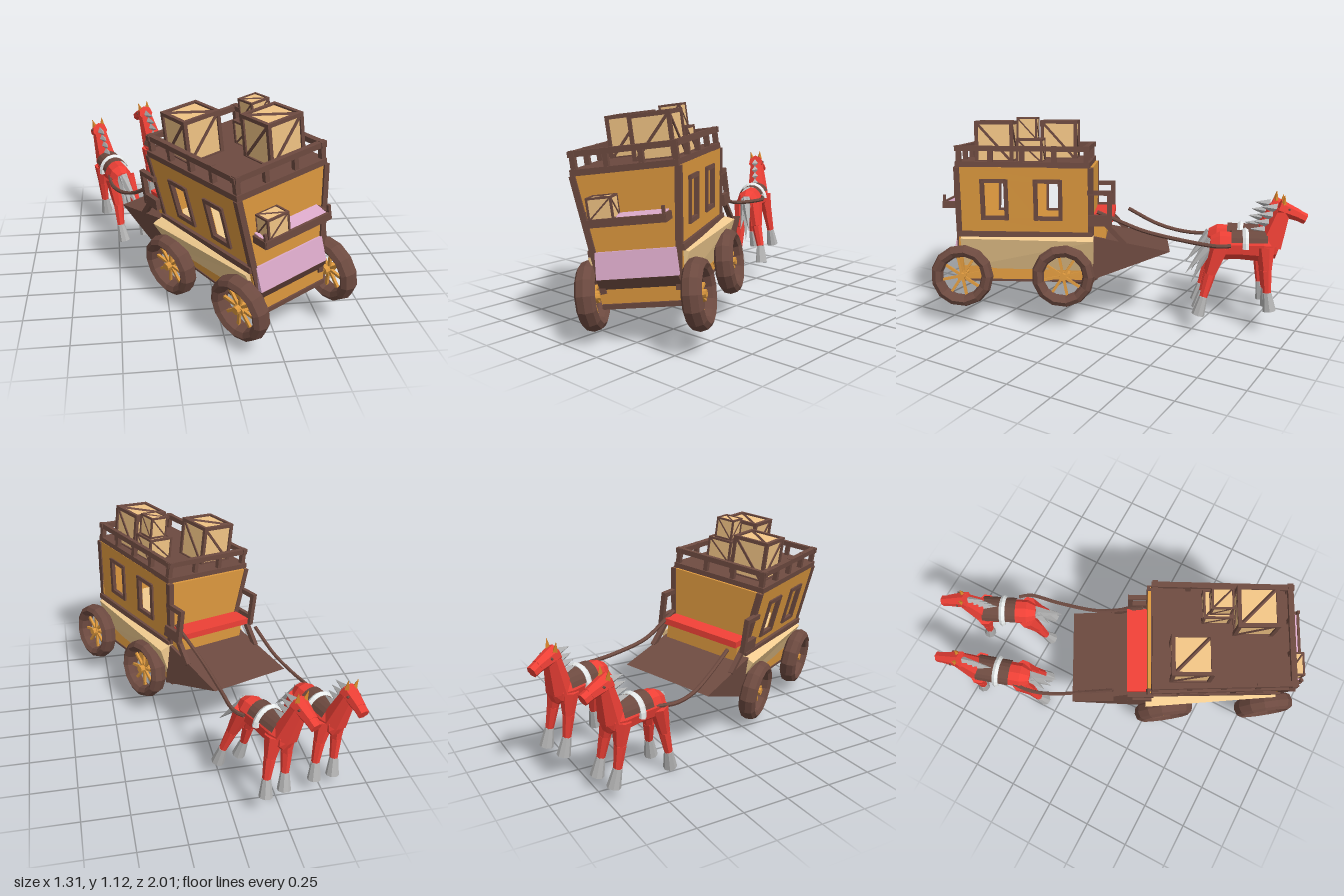
import * as THREE from 'three';

const V = (x, y, z) => new THREE.Vector3(x, y, z);
const mat = (color) => new THREE.MeshStandardMaterial({ color, flatShading: true, side: THREE.DoubleSide });
const brown = mat(0x6d4a40), ochre = mat(0xdc983e), tan = mat(0xf2cc90), crateTan = mat(0xf0c384),
  lilac = mat(0xdcaaca), red = mat(0xee4036), grey = mat(0xb4b4b4), white = mat(0xe8ecec), orange = mat(0xd8842a);

function add(parent, name, geo, material, x = 0, y = 0, z = 0) {
  const m = new THREE.Mesh(geo, material);
  m.name = name;
  m.position.set(x, y, z);
  parent.add(m);
  return m;
}
const box = (p, name, m, w, h, d, x, y, z) => add(p, name, new THREE.BoxGeometry(w, h, d), m, x, y, z);

// Part stretched between two points: square bar, or round limb with two radii
function span(p, name, m, a, b, geo) {
  const dir = b.clone().sub(a), mid = a.clone().add(b).multiplyScalar(0.5);
  const mesh = add(p, name, geo(dir.length()), m, mid.x, mid.y, mid.z);
  mesh.quaternion.setFromUnitVectors(V(0, 1, 0), dir.normalize());
  return mesh;
}
const bar = (p, name, m, a, b, t = 0.02) => span(p, name, m, a, b, (l) => new THREE.BoxGeometry(t, l, t));
const limb = (p, name, m, a, b, ra, rb, n = 7) => span(p, name, m, a, b, (l) => new THREE.CylinderGeometry(rb, ra, l, n));

// Cabin half width: flares upwards and widens towards the front
const taper = (z) => 1 + (0.31 - z) * 0.1;
const flare = (y, z) => (0.203 + (y - 0.36) * 0.125) * taper(z);

function crate(p, w, h, d, x, y, z) {
  const g = new THREE.Group();
  g.name = 'crate';
  g.position.set(x, y + h / 2, z);
  p.add(g);
  box(g, 'cratePanels', crateTan, w, h, d, 0, 0, 0);
  const a = w / 2, b = h / 2, c = d / 2, t = Math.min(w, h) * 0.1;
  for (const s of [-1, 1]) for (const q of [-1, 1]) {
    box(g, 'crateEdge', brown, w + t, t, t, 0, s * b, q * c);
    box(g, 'crateEdge', brown, t, h + t, t, s * a, 0, q * c);
    box(g, 'crateEdge', brown, t, t, d + t, s * a, q * b, 0);
  }
  for (const s of [-1, 1]) {
    bar(g, 'crateBrace', brown, V(-a, -b, s * c), V(a, b, s * c), t * 0.7);
    bar(g, 'crateBrace', brown, V(s * a, -b, -c), V(s * a, b, c), t * 0.7);
  }
  bar(g, 'crateBrace', brown, V(-a, b, -c), V(a, b, c), t * 0.7);
}

function wheel(p, x, y, z, toe) {
  const g = new THREE.Group();
  g.name = 'wheel';
  g.position.set(x, y, z);
  g.rotation.y = Math.PI / 2 + toe;
  p.add(g);
  const tire = add(g, 'tire', new THREE.TorusGeometry(0.139, 0.033, 8, 13), brown);
  tire.scale.z = 1.5;
  limb(g, 'hub', ochre, V(0, 0, -0.035), V(0, 0, 0.035), 0.021, 0.021, 8);
  for (let i = 0; i < 8; i++) {
    const a = i * Math.PI / 4 + 0.2;
    bar(g, 'spoke', ochre, V(0, 0, 0), V(Math.cos(a) * 0.12, Math.sin(a) * 0.12, 0), 0.014);
  }
}

const shape = (pts) => new THREE.Shape(pts.map(([x, y]) => new THREE.Vector2(x, y)));
const extrude = (s, depth) => new THREE.ExtrudeGeometry(s, { depth, bevelEnabled: false });

// Side wall with two open framed windows, drawn in (z, y) and leaned outwards
function sideWall(p, s, y0) {
  const wall = shape([[-0.41, 0.37], [0.31, 0.37], [0.31, 0.755], [-0.41, 0.755]]);
  const windows = [[0.05, 0.18], [-0.245, -0.11]], y1 = y0 + 0.205;
  for (const [a, b] of windows)
    wall.holes.push(new THREE.Path([[a, y0], [a, y1], [b, y1], [b, y0]].map(([x, y]) => new THREE.Vector2(x, y))));
  const geo = extrude(wall, 0.02), pos = geo.attributes.position;
  for (let i = 0; i < pos.count; i++) {
    const z = pos.getX(i), y = pos.getY(i);
    pos.setXYZ(i, s * (flare(y, z) + pos.getZ(i) - 0.01), y, z);
  }
  add(p, 'sideWall', geo, ochre);
  const at = (y, z, o = 0.01) => V(s * (flare(y, z) + o), y, z);
  for (const [a, b] of windows) {
    for (const z of [a, b]) bar(p, 'windowFrame', brown, at(y0 - 0.01, z), at(y1 + 0.01, z), 0.022);
    for (const y of [y0, y1]) bar(p, 'windowFrame', brown, at(y, a), at(y, b), 0.022);
  }
  for (const z of [-0.41, 0.315]) bar(p, 'cornerPost', brown, at(z > 0 ? 0.19 : 0.36, z, 0.003), at(0.755, z, 0.003), 0.03);
  bar(p, 'sill', brown, at(0.385, -0.42, 0.015), at(0.385, 0.325, 0.015), 0.03);
}

function coach(p) {
  // Lower hull, bulging wider towards the front
  const hull = extrude(shape([[-0.21, 0.385], [-0.27, 0.36], [-0.2, 0.185], [0.2, 0.185], [0.27, 0.36], [0.21, 0.385]]), 0.73);
  hull.translate(0, 0, -0.425);
  const pos = hull.attributes.position;
  for (let i = 0; i < pos.count; i++) pos.setX(i, pos.getX(i) * (pos.getZ(i) < 0 ? 1.13 : 0.92));
  add(p, 'hull', hull, tan);
  box(p, 'lowerBody', ochre, 0.39, 0.08, 0.73, 0, 0.16, -0.055);
  box(p, 'underside', brown, 0.4, 0.012, 0.75, 0, 0.12, -0.05);
  for (const z of [-0.28, 0.285]) limb(p, 'axle', ochre, V(-0.28, 0.165, z), V(0.28, 0.165, z), 0.016, 0.016);
  wheel(p, -0.296, 0.15, -0.315, 0.15);
  wheel(p, -0.27, 0.17, 0.265, 0.15);
  wheel(p, 0.288, 0.167, -0.262, 0.02);
  wheel(p, 0.267, 0.158, 0.295, 0.02);
  // Footboard wedge
  const wedge = extrude(shape([[0.84, 0.30], [0.42, 0.38], [0.42, 0.14]]), 0.515);
  wedge.rotateY(Math.PI / 2);
  add(p, 'footboard', wedge, brown, -0.27, 0, 0);

  // Cabin
  sideWall(p, 1, 0.475);
  sideWall(p, -1, 0.455);
  for (const [z, y] of [[-0.42, 0.36], [0.3, 0.12]]) {
    const low = flare(0.36, z), high = flare(0.755, z);
    add(p, 'endWall', extrude(shape([[-low, y], [low, y], [high, 0.755], [-high, 0.755]]), 0.02), ochre, 0, 0, z);
  }
  // Rear boot cover
  const boot = (name, m, pts) => {
    const g = extrude(shape(pts), 0.4);
    g.rotateY(-Math.PI / 2);
    add(p, name, g, m, 0.2, 0, 0);
  };
  boot('bootCover', lilac, [[0.31, 0.39], [0.31, 0.265], [0.355, 0.265], [0.33, 0.39]]);
  boot('bootBase', brown, [[0.31, 0.265], [0.31, 0.21], [0.325, 0.21], [0.357, 0.265]]);
  box(p, 'rearBottomRail', brown, 0.4, 0.02, 0.02, 0, 0.13, 0.32);
  // Rear luggage shelf
  box(p, 'shelf', brown, 0.38, 0.015, 0.1, 0, 0.53, 0.36);
  box(p, 'shelfLining', lilac, 0.37, 0.012, 0.1, 0, 0.553, 0.36).rotation.x = 0.2;
  box(p, 'shelfLip', brown, 0.385, 0.038, 0.014, 0, 0.54, 0.406);
  for (const s of [-1, 1]) {
    box(p, 'shelfEnd', brown, 0.014, 0.038, 0.1, s * 0.19, 0.54, 0.36);
    bar(p, 'shelfPost', brown, V(s * 0.187, 0.52, 0.403), V(s * 0.187, 0.595, 0.403), 0.014);
  }
  crate(p, 0.115, 0.1, 0.085, -0.11, 0.553, 0.36);

  // Roof and railing
  const roof = extrude(shape([[-0.284, 0.405], [0.284, 0.405], [0.262, -0.325], [-0.262, -0.325]]), 0.03);
  roof.rotateX(-Math.PI / 2);
  add(p, 'roof', roof, brown, -0.003, 0.753, 0);
  const X = (z) => 0.247 * taper(z), Z0 = -0.385, Z1 = 0.305, top = 0.854;
  for (const s of [-1, 1]) bar(p, 'roofRail', brown, V(s * X(Z0), top, Z0 - 0.02), V(s * X(Z1), top, Z1 + 0.02), 0.028);
  for (const z of [Z0, Z1]) {
    bar(p, 'roofRail', brown, V(-X(z) - 0.02, top, z), V(X(z) + 0.02, top, z), 0.028);
    for (const x of [-0.085, 0.085]) bar(p, 'railPost', brown, V(x, 0.76, z), V(x, 0.86, z), 0.024);
  }
  for (let i = 0; i < 5; i++) {
    const z = Z0 + (Z1 - Z0) * i / 4;
    for (const s of [-1, 1]) bar(p, 'railPost', brown, V(s * X(z), 0.76, z), V(s * X(z), 0.87, z), 0.026);
  }
  crate(p, 0.19, 0.21, 0.19, -0.125, 0.78, -0.208);
  crate(p, 0.19, 0.21, 0.19, 0.115, 0.78, 0.118);
  crate(p, 0.14, 0.12, 0.13, 0.15, 0.78, -0.075);
  crate(p, 0.1, 0.11, 0.1, 0.15, 0.905, -0.06);

  // Driver's bench
  box(p, 'benchBase', ochre, 0.45, 0.1, 0.07, 0, 0.41, -0.455);
  box(p, 'benchSeat', red, 0.46, 0.035, 0.11, -0.005, 0.475, -0.475);
  for (const s of [-1, 1]) {
    const x = s * 0.265 - 0.008;
    box(p, 'armPanel', brown, 0.025, 0.06, 0.12, x, 0.47, -0.455);
    bar(p, 'armRest', brown, V(x, 0.62, -0.39), V(x, 0.62, -0.525), 0.026);
    bar(p, 'armPost', brown, V(x, 0.44, -0.512), V(x, 0.625, -0.512), 0.026);
    bar(p, 'armBrace', brown, V(x * 0.95, 0.46, -0.48), V(x * 0.95, 0.34, -0.595), 0.026);
  }
}

function horse(p, x, y, z, yaw) {
  const g = new THREE.Group();
  g.name = 'horse';
  g.position.set(x, y, z);
  g.rotation.y = yaw;
  p.add(g);
  // Barrel of the body, rump to chest
  const prof = [[0, -0.19], [0.045, -0.18], [0.07, -0.13], [0.067, -0.02], [0.076, 0.1], [0.058, 0.165], [0, 0.19]];
  const body = new THREE.LatheGeometry(prof.map(([r, l]) => new THREE.Vector2(r, l)), 9);
  body.rotateX(-Math.PI / 2);
  add(g, 'body', body, red, 0, 0.37, -0.035).scale.y = 1.1;
  // Legs and hooves
  for (const s of [-1, 1]) for (const rear of [true, false]) {
    const sx = s * (rear ? 0.07 : 0.06), lift = rear ? 0 : 0.03;
    const hip = V(s * 0.042, 0.37, rear ? 0.095 : -0.145), knee = V(s * 0.054, 0.22 + lift, rear ? 0.145 : -0.152);
    const ankle = V(sx, 0.1 + lift, rear ? 0.178 : -0.16), foot = V(sx, lift, rear ? 0.205 : -0.175);
    limb(g, 'upperLeg', red, hip, knee, 0.05, 0.03);
    limb(g, 'lowerLeg', red, knee, ankle, 0.031, 0.022);
    limb(g, 'hoof', grey, ankle, foot, 0.023, 0.036, 8);
  }
  // Neck, head and ears
  limb(g, 'neck', red, V(0, 0.38, -0.17), V(0, 0.57, -0.235), 0.068, 0.042);
  limb(g, 'head', red, V(0, 0.582, -0.212), V(0, 0.54, -0.32), 0.046, 0.032);
  limb(g, 'muzzle', red, V(0, 0.543, -0.31), V(0, 0.522, -0.355), 0.031, 0.03);
  for (const s of [-1, 1]) {
    limb(g, 'ear', orange, V(s * 0.024, 0.6, -0.235), V(s * 0.031, 0.65, -0.24), 0.016, 0.001, 4);
    limb(g, 'eye', brown, V(s * 0.032, 0.575, -0.265), V(s * 0.042, 0.575, -0.265), 0.007, 0.005, 6);
  }
  // Mane and tail of pointed tufts
  for (let i = 0; i < 4; i++) {
    const a = V(0, 0.455 + i * 0.04, -0.15 - i * 0.018);
    limb(g, 'mane', grey, a, a.clone().add(V(0, 0.01, 0.085)), 0.028, 0.001, 4).scale.x = 0.7;
  }
  for (let i = -1; i <= 1; i++)
    limb(g, 'tail', grey, V(0, 0.395, 0.135), V(i * 0.035, 0.16 + Math.abs(i) * 0.06, 0.245 + i * 0.03), 0.034, 0.001, 5);
  // Harness over the back
  const blanket = new THREE.CylinderGeometry(0.077, 0.077, 0.19, 8, 1, true, Math.PI * 0.6, Math.PI * 0.8);
  blanket.rotateX(Math.PI / 2);
  add(g, 'blanket', blanket, brown, 0, 0.372, -0.06).scale.y = 1.1;
  add(g, 'girthBand', new THREE.TorusGeometry(0.073, 0.019, 6, 10, Math.PI), white, 0, 0.365, -0.04).scale.y = 1.15;
}

export function createModel() {
  const root = new THREE.Group();
  root.name = 'stagecoach';
  const tilted = new THREE.Group();
  tilted.name = 'coachAndTeam';
  tilted.rotation.set(0, THREE.MathUtils.degToRad(27.5), THREE.MathUtils.degToRad(7.5), 'YXZ');
  tilted.position.set(0.194, 0.082, 0.486);
  root.add(tilted);
  coach(tilted);
  horse(tilted, -0.107, -0.048, -1.225, -0.18);
  horse(tilted, 0.25, -0.03, -1.202, -0.06);
  // Reins from the bench to the horses
  const reins = [
    [V(0.13, 0.62, 0.02), V(0.09, 0.58, -0.07), V(0.03, 0.52, -0.22), V(-0.02, 0.485, -0.45), V(-0.05, 0.475, -0.62), V(-0.09, 0.475, -0.67)],
    [V(-0.34, 0.52, 0.08), V(-0.41, 0.43, -0.08), V(-0.48, 0.385, -0.22), V(-0.53, 0.38, -0.36), V(-0.54, 0.42, -0.56)],
  ];
  for (const pts of reins)
    add(root, 'rein', new THREE.TubeGeometry(new THREE.CatmullRomCurve3(pts), 20, 0.011, 6), brown);
  return root;
}
